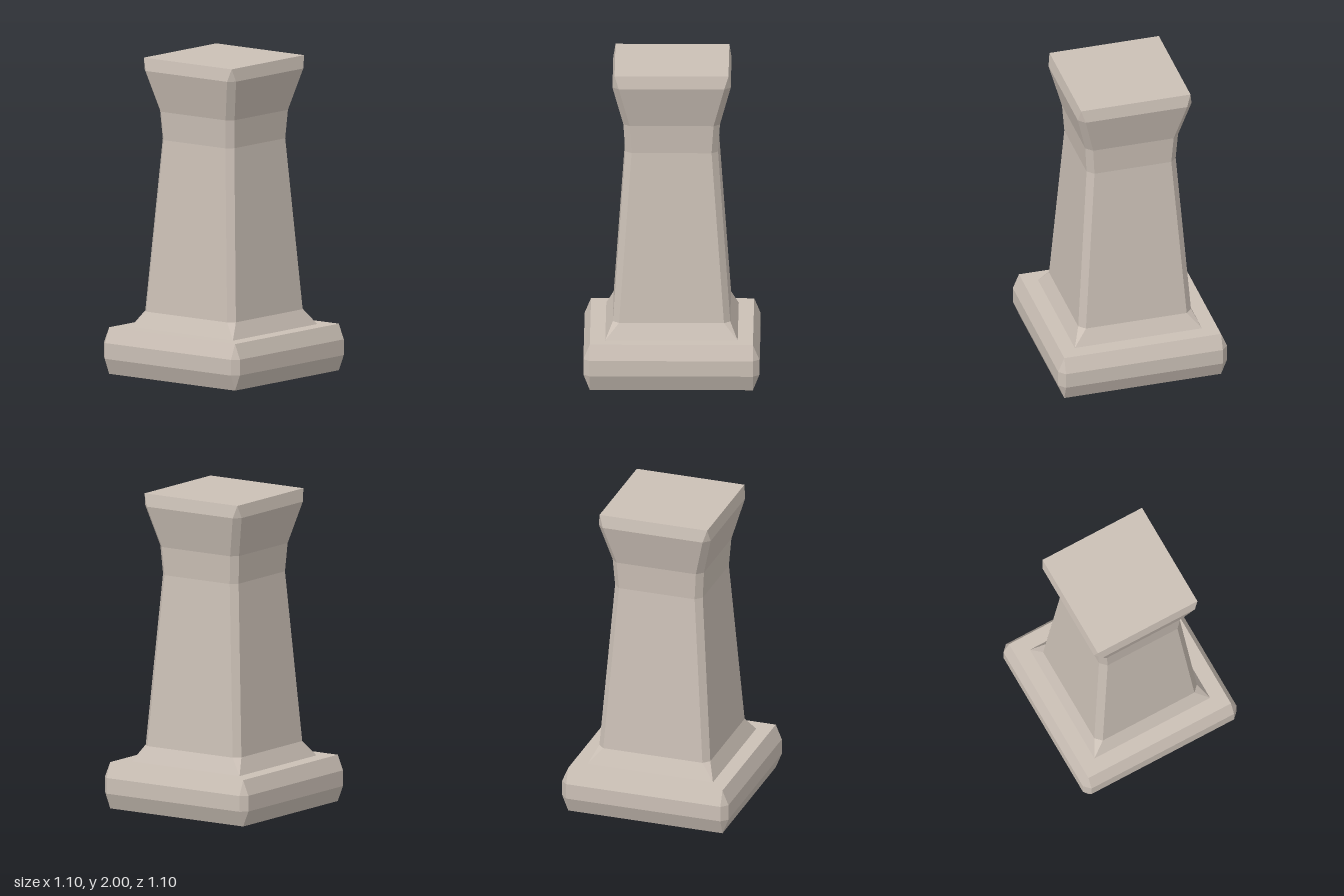
import * as THREE from 'three';

// Square ring with cut corners: h = half width, f = half length of the flat side.
// Runs counter-clockwise as seen from above.
function ring([y, h, f]) {
  return [[h, f], [h, -f], [f, -h], [-f, -h], [-h, -f], [-h, f], [-f, h], [f, h]]
    .map(([x, z]) => new THREE.Vector3(x, y, z));
}

// Skin a stack of [y, h, f] levels and close both ends.
function stackGeometry(levels) {
  const rings = levels.map(ring);
  const positions = [];
  const tri = (a, b, c) => {
    // Corner cuts that shrink to a point leave empty triangles: skip them
    if (new THREE.Triangle(a, b, c).getArea() < 1e-7) return;
    for (const p of [a, b, c]) positions.push(p.x, p.y, p.z);
  };
  for (let k = 0; k < rings.length - 1; k++) {
    const lo = rings[k], hi = rings[k + 1];
    for (let i = 0; i < 8; i++) {
      const j = (i + 1) % 8;
      tri(lo[i], lo[j], hi[j]);
      tri(lo[i], hi[j], hi[i]);
    }
  }
  const bottom = rings[0], top = rings[rings.length - 1];
  for (let i = 1; i < 7; i++) {
    tri(top[0], top[i], top[i + 1]);
    tri(bottom[0], bottom[i + 1], bottom[i]);
  }
  const geometry = new THREE.BufferGeometry();
  geometry.setAttribute('position', new THREE.Float32BufferAttribute(positions, 3));
  geometry.computeVertexNormals();
  return geometry;
}

export function createModel() {
  const stone = new THREE.MeshStandardMaterial({ color: 0xcbc0b6, flatShading: true });
  const group = new THREE.Group();
  group.name = 'pedestal';

  const addPart = (name, levels) => {
    const mesh = new THREE.Mesh(stackGeometry(levels), stone);
    mesh.name = name;
    group.add(mesh);
  };

  // Wide slab with bevelled edges
  addPart('base', [
    [0, 0.51, 0.51], [0.1, 0.55, 0.51], [0.2, 0.55, 0.51], [0.295, 0.51, 0.51],
  ]);

  // Flared foot, tapering column and spreading top in one skin
  addPart('column', [
    [0.295, 0.414, 0.414], [0.395, 0.367, 0.328], [1.48, 0.29, 0.25],
    [1.66, 0.302, 0.262], [1.92, 0.37, 0.33], [2, 0.356, 0.356],
  ]);

  return group;
}
